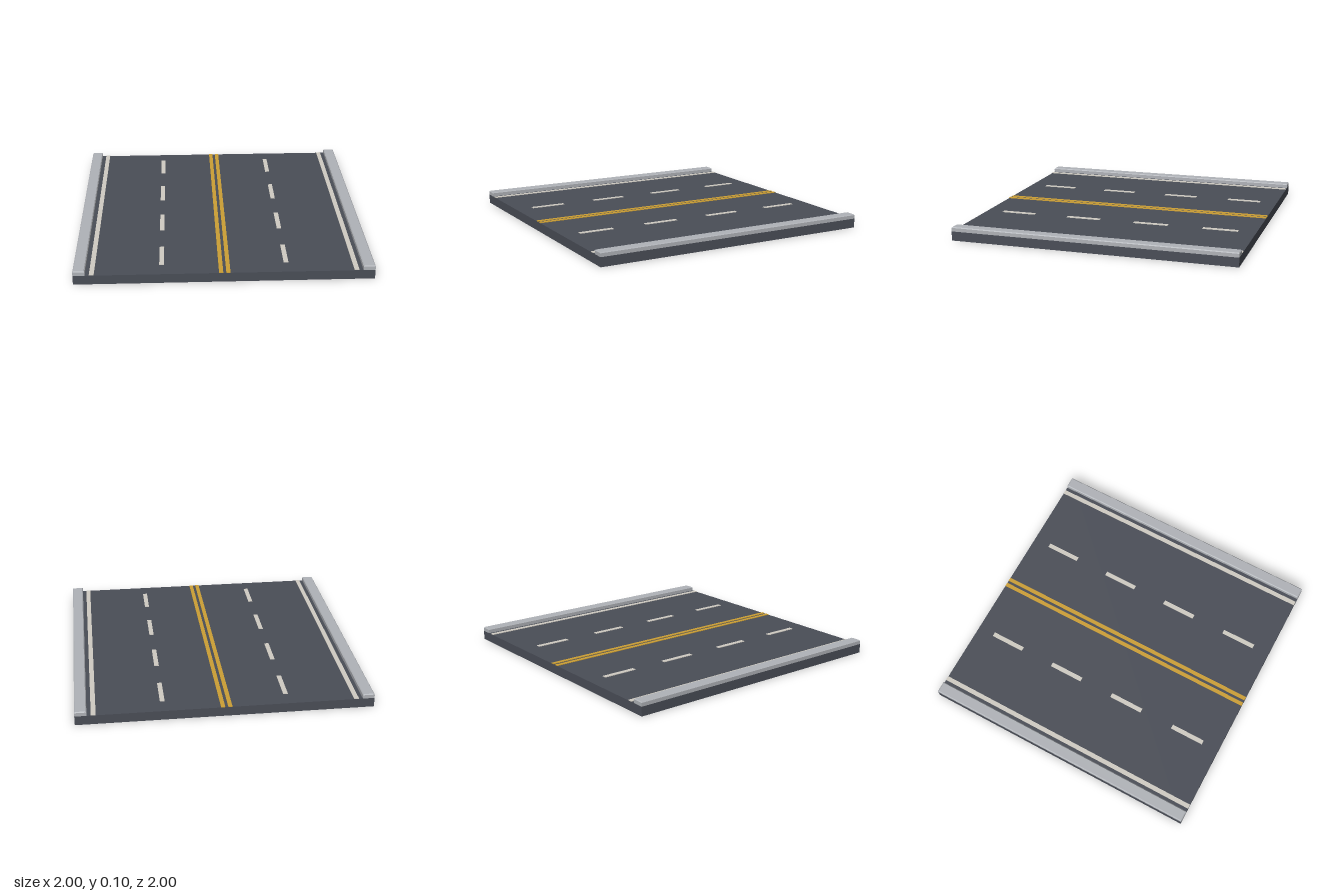
import * as THREE from 'three';

const ROAD_TOP = 0.065;
const LENGTH = 2;

const material = (name, color) => {
  const m = new THREE.MeshStandardMaterial({ color });
  m.name = name;
  return m;
};

// Box standing on y = 0 whose upper edges are chamfered
function chamferedBox(width, height, depth, bevel) {
  const box = new THREE.BoxGeometry(width, height, depth, 1, 2, 1);
  box.translate(0, height / 2, 0);
  const p = box.attributes.position;
  for (let i = 0; i < p.count; i++) {
    const y = p.getY(i);
    if (y > height * 0.75) {
      p.setX(i, p.getX(i) - Math.sign(p.getX(i)) * bevel);
      p.setZ(i, p.getZ(i) - Math.sign(p.getZ(i)) * bevel);
    } else if (y > height * 0.25) {
      p.setY(i, height - bevel);
    }
  }
  const flat = box.toNonIndexed();
  flat.computeVertexNormals();
  return flat;
}

export function createModel() {
  const model = new THREE.Group();
  model.name = 'roadSegment';

  const asphalt = material('asphalt', 0x4a4e57);
  const concrete = material('concrete', 0xb0b3b8);
  const whitePaint = material('whitePaint', 0xd0ccc3);
  const yellowPaint = material('yellowPaint', 0xcc9f35);

  const add = (name, geometry, mat, x, y, z = 0) => {
    const mesh = new THREE.Mesh(geometry, mat);
    mesh.name = name;
    mesh.position.set(x, y, z);
    model.add(mesh);
  };

  // Road slab
  add('roadSlab', new THREE.BoxGeometry(2, ROAD_TOP, LENGTH), asphalt, 0, ROAD_TOP / 2);

  // Shared shapes for kerbs and thin painted markings
  const paint = 0.004;
  const paintY = ROAD_TOP + paint / 2;
  const kerb = chamferedBox(0.08, 0.031, LENGTH, 0.006);
  const edgeLine = new THREE.BoxGeometry(0.032, paint, LENGTH);
  const centreLine = new THREE.BoxGeometry(0.028, paint, LENGTH);
  const dash = new THREE.BoxGeometry(0.032, paint, 0.25);

  for (const [side, s] of [['left', 1], ['right', -1]]) {
    add(side + 'Kerb', kerb, concrete, s * 0.96, ROAD_TOP);
    add(side + 'EdgeLine', edgeLine, whitePaint, s * 0.877, paintY);
    add(side + 'CentreLine', centreLine, yellowPaint, s * 0.024, paintY);

    // Lane dashes
    for (let i = 0; i < 4; i++) {
      add(side + 'LaneDash' + (i + 1), dash, whitePaint, s * 0.417, paintY, -0.75 + i * 0.5);
    }
  }
  return model;
}
